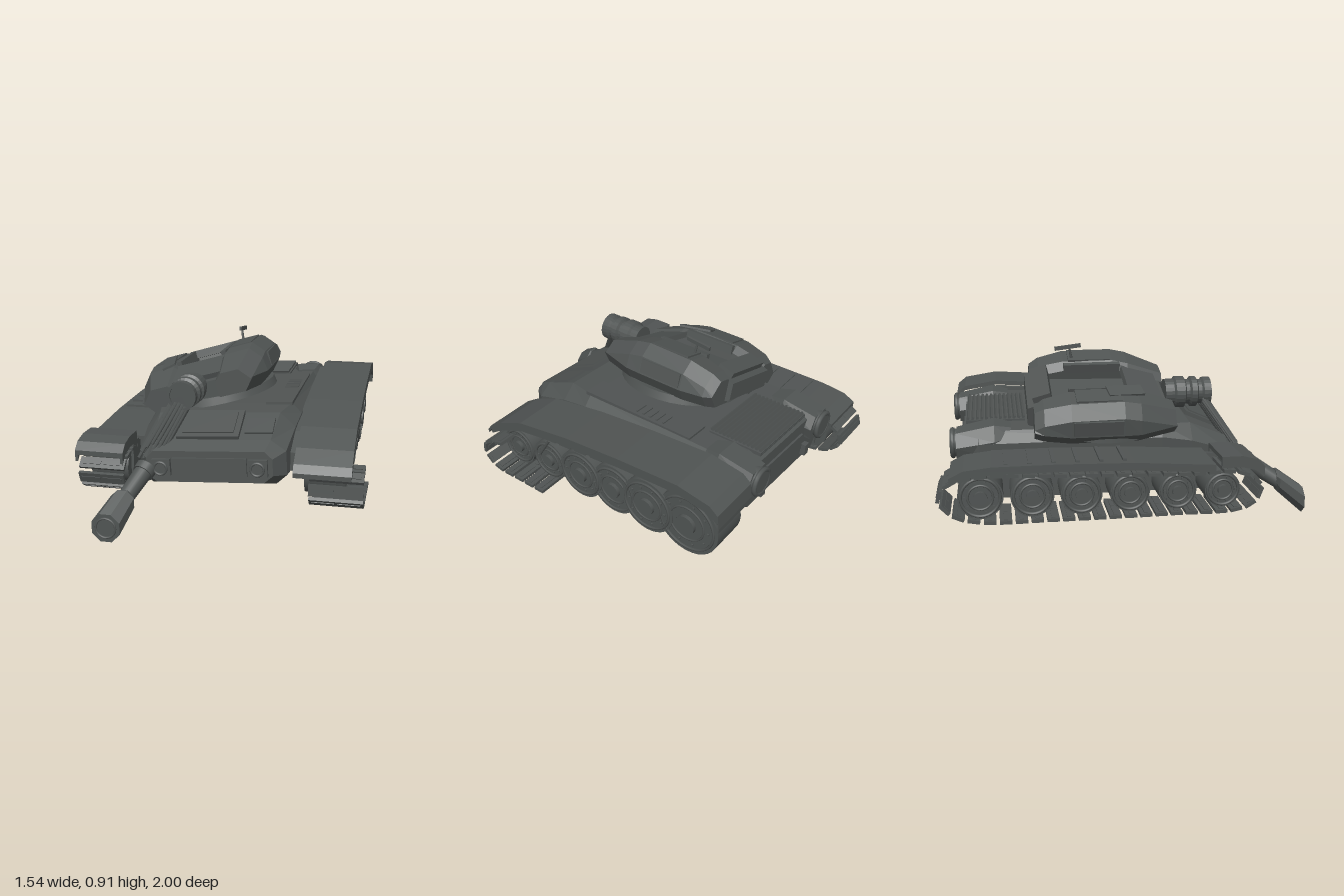
import * as THREE from 'three';

const steel = new THREE.MeshStandardMaterial({ color: 0x505453 });
const V = (x, y, z) => new THREE.Vector3(x, y, z);

function add(parent, name, geo, x = 0, y = 0, z = 0, rx = 0, ry = 0, rz = 0) {
  const m = new THREE.Mesh(geo, steel);
  m.name = name;
  m.position.set(x, y, z);
  m.rotation.set(rx, ry, rz);
  parent.add(m);
  return m;
}
const box = (w, h, d) => new THREE.BoxGeometry(w, h, d);
function group(parent, name) {
  const g = new THREE.Group();
  g.name = name;
  parent.add(g);
  return g;
}

// Faceted solid from rings [z, [[x, y], ...]], rings counter-clockwise, z rising
function loft(rings) {
  const pos = [], n = rings[0][1].length;
  const p = (i, j) => [...rings[i][1][j % n], rings[i][0]];
  const tri = (a, b, c) => pos.push(...a, ...b, ...c);
  for (let i = 0; i < rings.length - 1; i++)
    for (let j = 0; j < n; j++) {
      tri(p(i, j), p(i, j + 1), p(i + 1, j + 1));
      tri(p(i, j), p(i + 1, j + 1), p(i + 1, j));
    }
  const e = rings.length - 1;
  for (let j = 1; j < n - 1; j++) {
    tri(p(0, 0), p(0, j + 1), p(0, j));
    tri(p(e, 0), p(e, j), p(e, j + 1));
  }
  const g = new THREE.BufferGeometry();
  g.setAttribute('position', new THREE.Float32BufferAttribute(pos, 3));
  g.computeVertexNormals();
  return g;
}

// Bent sheet following a [z, y] profile between two x positions
function sheet(profile, x0, x1, t) {
  const pts = [...profile, ...profile.map(([z, y]) => [z, y - t]).reverse()];
  const s = new THREE.Shape(pts.map(([z, y]) => new THREE.Vector2(z, y)));
  return new THREE.ExtrudeGeometry(s, { depth: x1 - x0, bevelEnabled: false }).rotateY(-Math.PI / 2).translate(x1, 0, 0);
}

// Cylinder between two points
function rod(parent, name, a, b, r0, r1, sides = 16) {
  const d = b.clone().sub(a);
  const m = add(parent, name, new THREE.CylinderGeometry(r1, r0, d.length(), sides));
  m.position.copy(a).addScaledVector(d, 0.5);
  m.quaternion.setFromUnitVectors(V(0, 1, 0), d.normalize());
  return m;
}

// Wide drum wheel with rim, hub and bolts; side = direction of the outer face
function wheel(parent, x, y, z, r, w, side) {
  const g = group(parent, 'roadWheel');
  g.position.set(x, y, z);
  add(g, 'drum', new THREE.CylinderGeometry(r, r, w, 32).rotateZ(Math.PI / 2));
  const f = side * w / 2;
  add(g, 'rim', new THREE.TorusGeometry(r * 0.86, 0.008, 6, 32).rotateY(Math.PI / 2), f);
  add(g, 'innerRim', new THREE.TorusGeometry(r * 0.55, 0.006, 6, 28).rotateY(Math.PI / 2), f);
  add(g, 'hub', new THREE.CylinderGeometry(r * 0.3, r * 0.3, 0.04, 16).rotateZ(Math.PI / 2), f);
  for (let i = 0; i < 10; i++) {
    const a = i * Math.PI / 5;
    add(g, 'bolt', box(0.012, 0.01, 0.01), f, Math.sin(a) * r * 0.7, Math.cos(a) * r * 0.7);
  }
}

// Links spaced along a [z, y] path
function track(parent, name, path, closed, x, w, count) {
  const g = group(parent, name);
  const c = new THREE.CatmullRomCurve3(path.map(([z, y]) => V(x, y, z)), closed, 'centripetal');
  for (let i = 0; i < count; i++) {
    const u = i / (closed ? count : count - 1), p = c.getPointAt(u), t = c.getTangentAt(u);
    const link = group(g, 'link');
    link.position.copy(p);
    link.rotation.x = Math.atan2(-t.y, t.z);
    add(link, 'pad', box(w, 0.018, 0.062));
    for (const s of [-1, 1]) add(link, 'ridge', box(w * 0.42, 0.026, 0.02), s * w * 0.24);
  }
}

export function createModel() {
  const model = new THREE.Group();
  model.name = 'wreckedTank';

  // Hull, leaning to one side
  const hull = group(model, 'hull');
  hull.rotation.z = 0.06;
  const ring = (z, wb, yb, wm, y1, y2, wt, yt) =>
    [z, [[-wb, yb], [wb, yb], [wm, y1], [wm, y2], [wt, yt], [-wt, yt], [-wm, y2], [-wm, y1]].map(([x, y]) => [x - 0.015, y])];
  add(hull, 'hullBody', loft([
    ring(-0.86, 0.35, 0.27, 0.4, 0.34, 0.47, 0.36, 0.52),
    ring(-0.78, 0.36, 0.22, 0.43, 0.29, 0.49, 0.39, 0.55),
    ring(0.2, 0.36, 0.2, 0.43, 0.26, 0.49, 0.38, 0.55),
    ring(0.37, 0.36, 0.2, 0.42, 0.26, 0.46, 0.34, 0.54),
    ring(0.58, 0.34, 0.21, 0.4, 0.26, 0.39, 0.32, 0.45),
    ring(0.66, 0.29, 0.24, 0.34, 0.28, 0.37, 0.3, 0.41)]));
  add(hull, 'glacisHatch', box(0.34, 0.03, 0.22), -0.035, 0.5, 0.48, 0.42);
  add(hull, 'glacisHatchLid', box(0.28, 0.03, 0.17), -0.035, 0.508, 0.48, 0.42);
  add(hull, 'driverHatch', box(0.15, 0.03, 0.12), 0.235, 0.49, 0.48, 0.42);
  add(hull, 'nosePlate', box(0.4, 0.1, 0.02), -0.01, 0.325, 0.664);
  for (const s of [-1, 1]) {
    const x = s * 0.26 - 0.01;
    add(hull, 'headlightHousing', box(0.1, 0.09, 0.03), x, 0.325, 0.666);
    add(hull, 'headlight', new THREE.CylinderGeometry(0.036, 0.036, 0.03, 20).rotateX(Math.PI / 2), x, 0.325, 0.68);
    add(hull, 'headlightRing', new THREE.TorusGeometry(0.034, 0.007, 6, 20), x, 0.325, 0.694);
    add(hull, 'sidePanel', box(0.15, 0.02, 0.72), s * 0.295, 0.552, -0.13);
    for (let i = 0; i < 5; i++) add(hull, 'panelSlot', box(0.08, 0.012, 0.012), s * 0.31, 0.563, -0.3 + i * 0.045);
    // Exhaust housing with round end
    const ex = s * 0.335 - 0.002;
    add(hull, 'exhaustHousing', loft([
      [-0.9, [[-0.08, 0.4], [0.08, 0.4], [0.1, 0.47], [0.06, 0.54], [-0.06, 0.54], [-0.1, 0.47]]],
      [-0.7, [[-0.09, 0.4], [0.09, 0.4], [0.11, 0.5], [0.07, 0.58], [-0.07, 0.58], [-0.11, 0.5]]],
      [-0.61, [[-0.06, 0.48], [0.06, 0.48], [0.08, 0.51], [0.05, 0.56], [-0.05, 0.56], [-0.08, 0.51]]]]), ex);
    add(hull, 'exhaustDrum', new THREE.CylinderGeometry(0.075, 0.075, 0.06, 24).rotateX(Math.PI / 2), ex, 0.47, -0.9);
    add(hull, 'exhaustRing', new THREE.TorusGeometry(0.07, 0.014, 8, 24), ex, 0.47, -0.92);
    add(hull, 'towHook', box(0.04, 0.07, 0.04), s * 0.24 - 0.01, 0.33, -0.87);
  }
  add(hull, 'engineDeck', box(0.48, 0.02, 0.32), -0.002, 0.55, -0.69);
  for (let i = 0; i < 13; i++) add(hull, 'grilleSlat', box(0.46, 0.03, 0.012), -0.002, 0.56, -0.84 + i * 0.025, 0.4);
  add(hull, 'rearPlate', box(0.4, 0.1, 0.02), -0.01, 0.4, -0.862);

  // Raised running gear, stripped of its track
  const bare = group(model, 'bareRunningGear');
  [[0.47, 0.28, 0.115], [0.24, 0.285, 0.12], [0, 0.305, 0.147], [-0.23, 0.315, 0.153], [-0.46, 0.33, 0.165], [-0.71, 0.347, 0.19]]
    .forEach(([z, y, r], i) => wheel(bare, 0.562 - (i % 2) * 0.006, y, z, r, 0.21, 1));
  const high = [[-0.93, 0.47], [-0.92, 0.55], [-0.87, 0.59], [-0.68, 0.62], [-0.3, 0.595], [0.05, 0.56], [0.4, 0.5], [0.56, 0.43], [0.65, 0.37], [0.68, 0.33]];
  add(bare, 'fender', sheet(high, 0.41, 0.71, 0.025));
  add(bare, 'fenderSkirt', sheet(high.slice(1, 9), 0.695, 0.71, 0.055));
  add(bare, 'fenderInnerWall', sheet(high.slice(3, 8).map(([z, y]) => [z, y - 0.03]), 0.38, 0.42, 0.1));
  for (let i = 0; i < 4; i++) add(bare, 'bracket', box(0.03, 0.03, 0.08), 0.69, 0.49 + i * 0.012, 0.18 - i * 0.11, 0.1);
  rod(bare, 'bentStay', V(0.69, 0.46, 0.2), V(0.69, 0.33, 0.28), 0.008, 0.008, 6);
  track(bare, 'brokenTrack', [[0.24, 0.132], [0.4, 0.132], [0.56, 0.135], [0.635, 0.175], [0.66, 0.24], [0.62, 0.3], [0.54, 0.325]], false, 0.63, 0.28, 9);
  add(bare, 'looseLink', box(0.32, 0.02, 0.06), 0.59, 0.132, 0.33, 0, 0.1);

  // Lower running gear, with its track in place
  const low = group(model, 'trackedRunningGear');
  [0.47, 0.23, -0.02, -0.27, -0.52, -0.78].forEach((z, i) =>
    wheel(low, -0.62, 0.24 + i * 0.004, z, 0.095 + i * 0.004, 0.21, -1));
  add(low, 'innerGuard', box(0.02, 0.2, 1.34), -0.51, 0.28, -0.16);
  track(low, 'track', [[0.54, 0.135], [0.2, 0.13], [-0.4, 0.13], [-0.8, 0.14], [-0.92, 0.18], [-0.985, 0.26], [-0.95, 0.33],
    [-0.82, 0.37], [-0.3, 0.36], [0.3, 0.34], [0.53, 0.34], [0.64, 0.3], [0.67, 0.24], [0.63, 0.17]], true, -0.627, 0.255, 44);
  const rear = [[-0.93, 0.38], [-0.86, 0.415], [-0.72, 0.43], [-0.4, 0.43], [0, 0.42], [0.42, 0.39]];
  add(low, 'fender', sheet(rear, -0.765, -0.48, 0.02));
  add(low, 'fenderSkirt', sheet(rear, -0.77, -0.755, 0.04));
  add(low, 'fenderInnerWall', sheet(rear.slice(2), -0.49, -0.44, 0.08));
  const front = [[0.45, 0.43], [0.56, 0.43], [0.64, 0.41], [0.68, 0.37]];
  add(low, 'frontMudguard', sheet(front, -0.77, -0.5, 0.025));
  for (const x of [-0.77, -0.515]) add(low, 'mudguardSide', sheet(front, x, x + 0.015, 0.06));
  for (let i = 0; i < 6; i++) add(low, 'fenderBrace', box(0.24, 0.012, 0.02), -0.62, 0.43, -0.65 + i * 0.12);

  // Turret, knocked off its ring and tilted
  add(model, 'turretRing', new THREE.CylinderGeometry(0.36, 0.37, 0.045, 32), -0.18, 0.555, -0.09, 0, 0, 0.2);
  const turret = group(model, 'turret');
  turret.position.set(-0.212, 0.66, -0.1);
  turret.rotation.z = 0.285;
  const cheek = (z, a, b, y0, y1) => [z, [[a, y0], [b - 0.06, y0], [b, y0 + 0.07], [b - 0.01, y1 - 0.07], [b - 0.07, y1], [a + 0.04, y1], [a, y1 - 0.04]]];
  const cheekRings = [
    cheek(-0.39, 0.17, 0.355, -0.1, 0.05), cheek(-0.34, 0.15, 0.37, -0.11, 0.08), cheek(-0.2, 0.14, 0.385, -0.12, 0.112),
    cheek(0.08, 0.13, 0.385, -0.12, 0.118), cheek(0.17, 0.12, 0.38, -0.12, 0.1), cheek(0.37, 0.12, 0.335, -0.1, 0.03)];
  const mirrored = cheekRings.map(([z, r]) => [z, r.map(([x, y]) => [-x, y]).reverse()]);
  for (const [name, rings, s] of [['leftCheek', cheekRings, 1], ['rightCheek', mirrored, -1]]) {
    add(turret, name, loft(rings));
    add(turret, 'cheekPlate', box(0.13, 0.012, 0.24), s * 0.24, 0.116, -0.05);
    add(turret, 'sidePlate', box(0.012, 0.08, 0.26), s * 0.382, 0, -0.06);
    add(turret, 'innerRail', box(0.03, 0.05, 0.32), s * 0.14, 0.09, -0.04);
  }
  const mid = (z, y0, y1) => [z, [[-0.2, y0], [0.2, y0], [0.2, y1], [-0.2, y1]]];
  add(turret, 'sunkenBody', loft([mid(-0.42, -0.07, 0.03), mid(-0.3, -0.12, 0.07), mid(-0.28, -0.12, 0.02), mid(0.2, -0.12, 0.02), mid(0.35, -0.1, 0)]));
  add(turret, 'roofFront', box(0.3, 0.03, 0.2), 0, 0.05, 0.22, 0.3);
  add(turret, 'bustlePlate', box(0.34, 0.05, 0.1), 0, 0.065, -0.34, -0.3);
  add(turret, 'tornPlate', box(0.08, 0.012, 0.2), -0.2, 0.12, 0.1, 0.1, 0.2, 0.15);
  rod(model, 'sightPost', V(-0.04, 0.78, -0.24), V(-0.055, 0.89, -0.26), 0.01, 0.006, 8);
  add(model, 'sightBar', box(0.014, 0.022, 0.15), -0.052, 0.898, -0.27, -0.12);

  // Ribbed gun mantlet
  const mantlet = [[0, 0], [0.075, 0], [0.075, 0.05], [0.088, 0.06], [0.088, 0.11], [0.07, 0.12], [0.07, 0.14], [0.085, 0.15],
    [0.085, 0.18], [0.068, 0.19], [0.068, 0.21], [0.08, 0.22], [0.08, 0.26], [0.065, 0.26], [0.065, 0.25], [0, 0.25]];
  add(model, 'mantlet', new THREE.LatheGeometry(mantlet.map(([r, y]) => new THREE.Vector2(r, y)), 24).rotateX(Math.PI / 2).toNonIndexed(), -0.22, 0.655, 0.255)
    .geometry.computeVertexNormals();

  // Burst gun barrel: torn strips, then the fallen muzzle end
  const burst = group(model, 'burstBarrel');
  for (let i = 0; i < 15; i++) {
    const a = i * Math.PI * 2 / 15, c = Math.cos(a), s = Math.sin(a), k = 0.82 + 0.18 * ((i * 4) % 15) / 15;
    const from = V(-0.23 + c * 0.05, 0.62 + s * 0.035, 0.47);
    rod(burst, 'tornStrip', from, from.clone().lerp(V(-0.37 + c * 0.055, 0.33 + s * 0.04, 0.66), k), 0.013, 0.009, 5);
  }
  rod(burst, 'barrelEnd', V(-0.37, 0.3, 0.67), V(-0.445, 0.165, 0.885), 0.05, 0.042, 20);
  rod(burst, 'barrelCollar', V(-0.37, 0.3, 0.67), V(-0.382, 0.278, 0.705), 0.058, 0.056, 20);
  // Muzzle brake with an upright end face
  const octagon = (x, y, z, r) => [z, Array.from({ length: 8 }, (_, i) => {
    const a = (i + 0.5) * Math.PI / 4;
    return [x + Math.cos(a) * r, y + Math.sin(a) * r];
  })];
  add(burst, 'muzzleBrake', loft([octagon(-0.432, 0.188, 0.855, 0.052), octagon(-0.438, 0.176, 0.868, 0.068), octagon(-0.486, 0.079, 0.993, 0.08)]));
  add(burst, 'muzzleRim', new THREE.TorusGeometry(0.052, 0.006, 6, 20), -0.486, 0.079, 0.993);
  return model;
}
